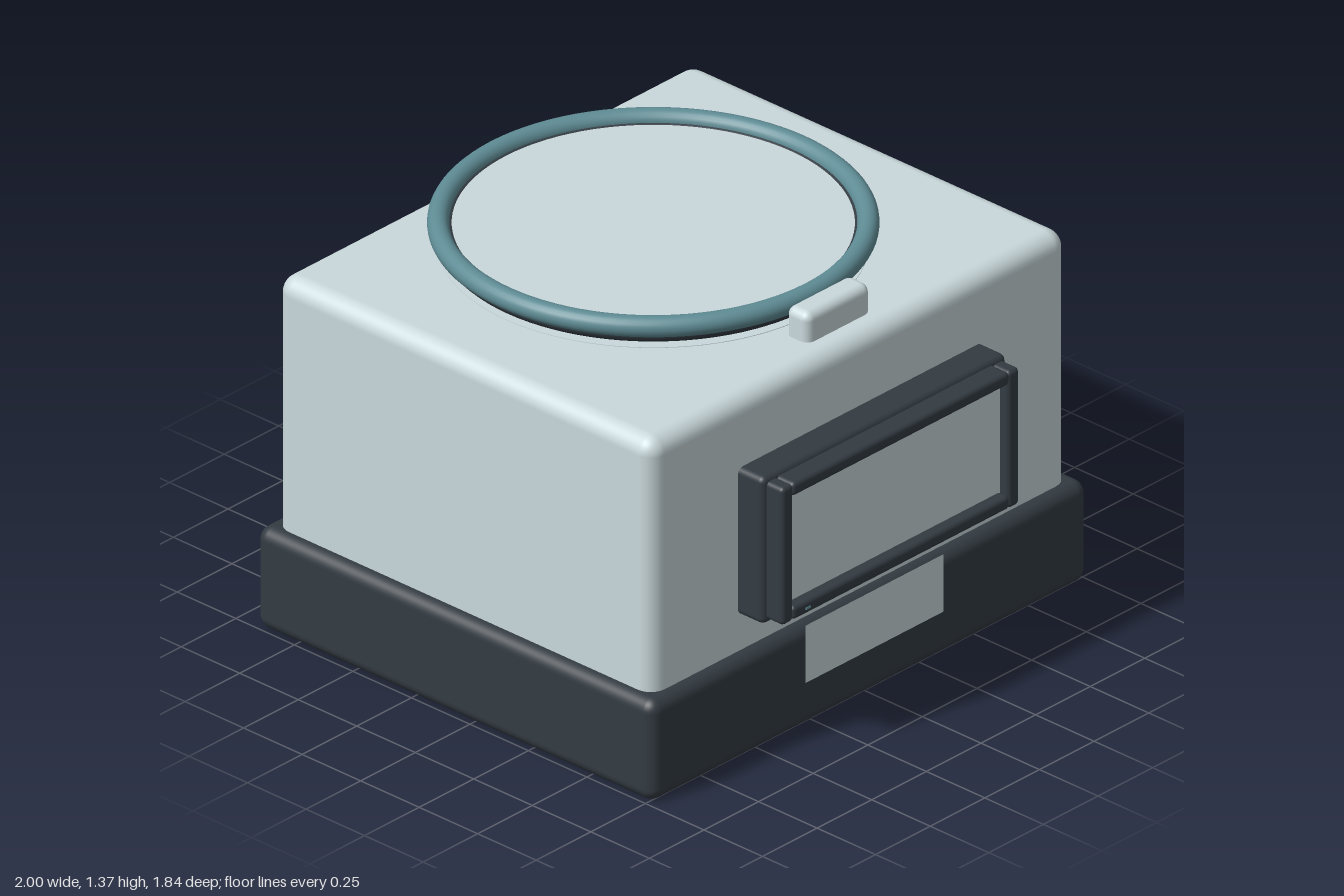
import * as THREE from 'three';
import { RoundedBoxGeometry } from 'three/addons/geometries/RoundedBoxGeometry.js';

const mat = (name, color) => {
  const m = new THREE.MeshStandardMaterial({ color });
  m.name = name;
  return m;
};

export function createModel() {
  const shell = mat('pale grey', 0xcad9dc);
  const dark = mat('charcoal', 0x333b42);
  const teal = mat('teal', 0x5f8c95);

  const model = new THREE.Group();
  const add = (name, geometry, material, x, y, z) => {
    const mesh = new THREE.Mesh(geometry, material);
    mesh.name = name;
    mesh.position.set(x, y, z);
    model.add(mesh);
    return mesh;
  };
  // Rounded box given by its extents on each axis
  const block = (name, material, [x0, x1], [y0, y1], [z0, z1], r) =>
    add(name, new RoundedBoxGeometry(x1 - x0, y1 - y0, z1 - z0, 4, r), material,
      (x0 + x1) / 2, (y0 + y1) / 2, (z0 + z1) / 2);

  // Housing
  block('base', dark, [-1, 1], [0, 0.36], [-0.92, 0.78], 0.045);
  block('body', shell, [-0.955, 0.955], [0.2, 1.255], [-0.875, 0.735], 0.06);

  // Round lid: thin seat, raised plate, seal and rim
  const lidZ = -0.15;
  add('lidSeat', new THREE.CylinderGeometry(0.675, 0.675, 0.006, 96), shell, 0, 1.254, lidZ);
  add('lidPlate', new THREE.CylinderGeometry(0.635, 0.62, 0.08, 96), shell, 0, 1.29, lidZ);
  add('lidSeal', new THREE.TorusGeometry(0.645, 0.034, 20, 96), dark, 0, 1.3, lidZ).rotation.x = Math.PI / 2;
  add('lidRim', new THREE.TorusGeometry(0.672, 0.035, 20, 96), teal, 0, 1.331, lidZ).rotation.x = Math.PI / 2;
  block('lidLatch', shell, [-0.148, 0.145], [1.22, 1.357], [0.55, 0.648], 0.03);

  // Front display: backing, four frame bars and a recessed screen
  block('displayBacking', dark, [-0.56, 0.557], [0.488, 1.012], [0.7, 0.842], 0.022);
  for (const s of [-1, 1]) {
    const x = s * 0.517;
    block('frameSide', dark, [x - 0.026, x + 0.026], [0.505, 0.995], [0.82, 0.91], 0.016);
    const y = 0.752 + s * 0.221;
    block('frameBar', dark, [-0.497, 0.497], [y - 0.024, y + 0.024], [0.82, 0.912], 0.016);
  }
  add('screen', new THREE.BoxGeometry(0.985, 0.4, 0.008), shell, 0, 0.752, 0.868);
  add('indicator', new THREE.BoxGeometry(0.02, 0.008, 0.008), teal, -0.43, 0.53, 0.911);

  // Flat plate on the front of the base
  add('frontPlate', new THREE.PlaneGeometry(0.63, 0.205), shell, 0, 0.2725, 0.795);

  return model;
}
